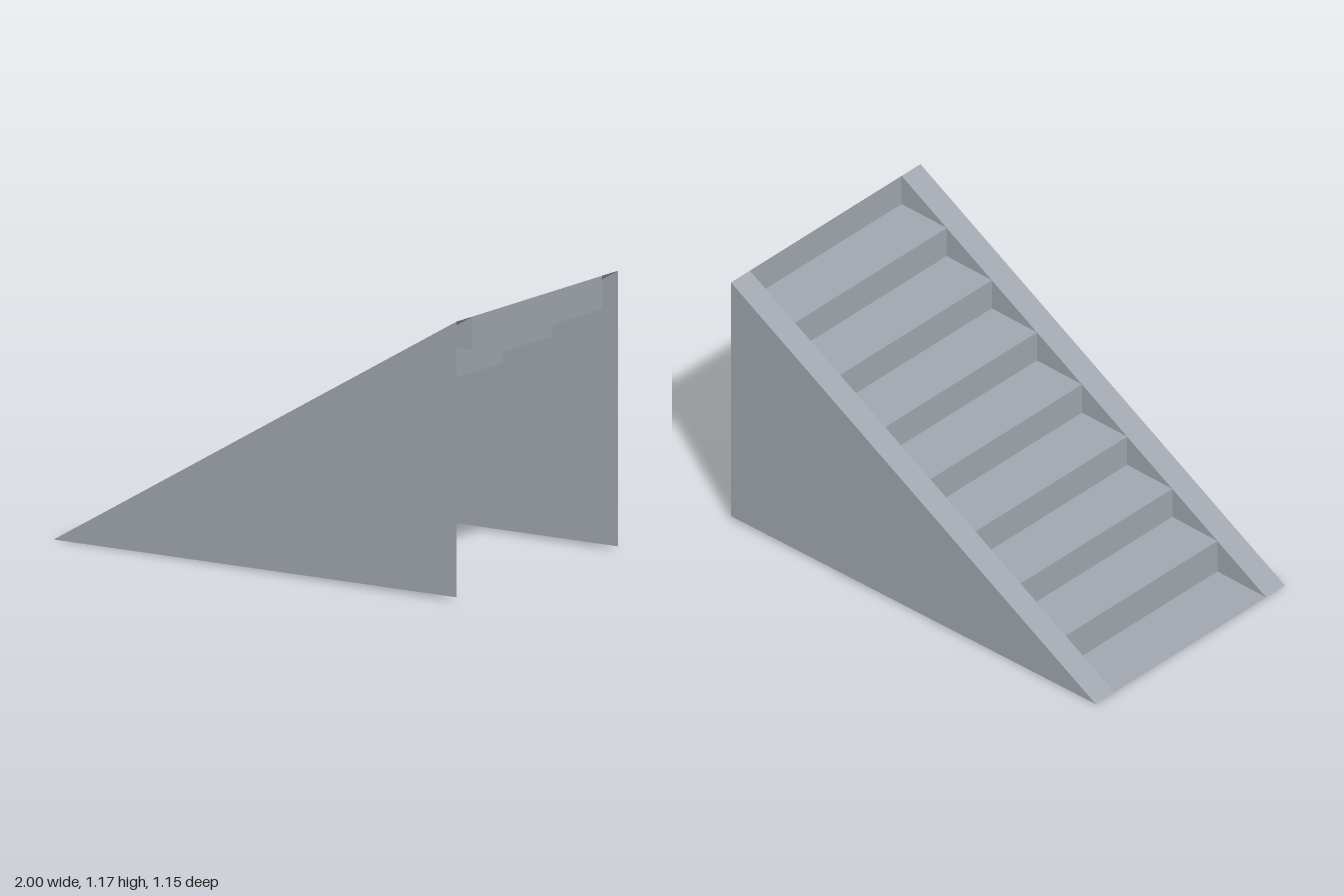
import * as THREE from 'three';

const HALF_WIDTH = 0.577, INNER = 0.462, TOP = 1.167;
const slope = (x) => (x + 1) / 2 * TOP;

export function createModel() {
  const group = new THREE.Group();
  const concrete = new THREE.MeshStandardMaterial({ color: 0xa0a5ae, side: THREE.DoubleSide });
  concrete.name = 'greyConcrete';

  const add = (name, geometry, z = 0) => {
    const mesh = new THREE.Mesh(geometry, concrete);
    mesh.name = name;
    mesh.position.z = z;
    group.add(mesh);
    return mesh;
  };

  // Flat sheet spanning z0..z1 between two profile points [x, y]
  const sheet = (p, q, z0, z1) => {
    const a = [...p, z1], b = [...q, z1], c = [...q, z0], d = [...p, z0];
    const geometry = new THREE.BufferGeometry();
    geometry.setAttribute('position', new THREE.Float32BufferAttribute([a, b, c, a, c, d].flat(), 3));
    geometry.computeVertexNormals();
    return geometry;
  };

  // Flat upright polygon facing +z
  const upright = (points) =>
    new THREE.ShapeGeometry(new THREE.Shape(points.map(([x, y]) => new THREE.Vector2(x, y))));

  // Outer walls and the sloping caps along their tops
  const wall = [[-1, 0], [1, 0.015], [1, TOP]];
  add('frontWall', upright(wall), HALF_WIDTH);
  const back = upright(wall.map(([x, y]) => [-x, y]));
  back.rotateY(Math.PI);
  add('backWall', back, -HALF_WIDTH);
  add('frontCap', sheet([-1, 0], [1, TOP], INNER, HALF_WIDTH));
  add('backCap', sheet([-1, 0], [1, TOP], -HALF_WIDTH, -INNER));

  // Steps: each tread runs back from the slope line, each riser climbs back to it
  for (let i = 0; i < 8; i++) {
    const x0 = i === 0 ? -1 : -0.7325 + (i - 1) * 0.2475;
    const x1 = -0.7325 + i * 0.2475;
    const nose = [x0, slope(x0)];
    const heel = [x1, slope(x0) + 0.006];
    const next = [x1, slope(x1)];
    add(`tread${i + 1}`, sheet(nose, heel, -INNER, INNER));
    add(`riser${i + 1}`, sheet(heel, next, -INNER, INNER));

    // Triangular cheeks closing the step ends, facing the stairway
    add(`backCheek${i + 1}`, upright([nose, heel, next]), -INNER);
    const front = upright([nose, heel, next].map(([x, y]) => [-x, y]));
    front.rotateY(Math.PI);
    add(`frontCheek${i + 1}`, front, INNER);
  }
  return group;
}
